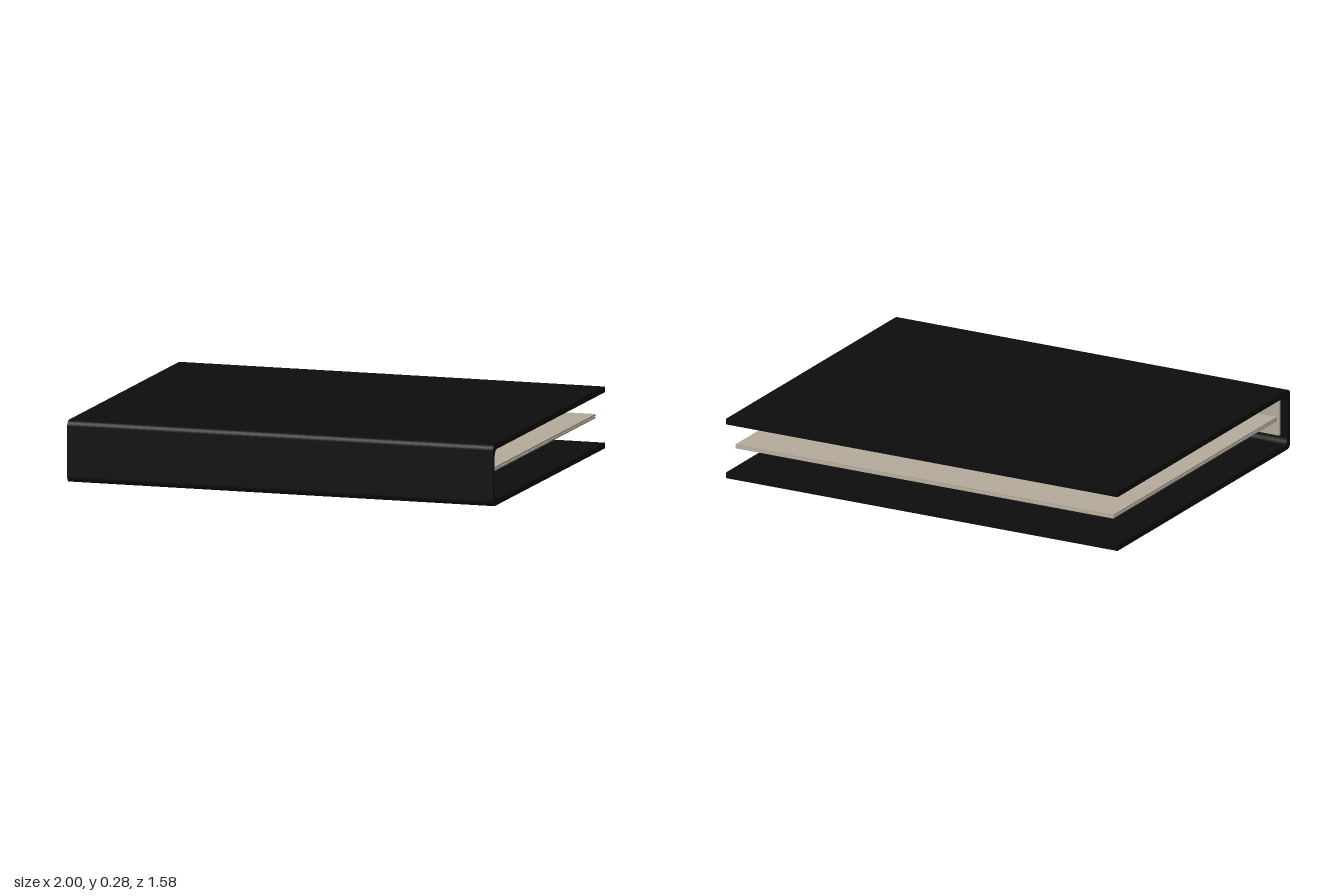
import * as THREE from 'three';

const HALF = 0.79, HEIGHT = 0.28, WALL = 0.026;

export function createModel() {
  const group = new THREE.Group();
  const black = new THREE.MeshStandardMaterial({ color: 0x0d0d0d });
  black.name = 'black cover';
  const beige = new THREE.MeshStandardMaterial({ color: 0xb5ab9b });
  beige.name = 'warm grey';

  const add = (name, geometry, material, x = 0, y = 0, z = 0) => {
    const mesh = new THREE.Mesh(geometry, material);
    mesh.name = name;
    mesh.position.set(x, y, z);
    group.add(mesh);
  };

  // Wraparound cover: a U profile (z, y) with rounded spine corners, extruded along x
  const r = 0.026, i = 0.03, inner = HALF - WALL, top = HEIGHT - WALL;
  const profile = new THREE.Shape();
  profile.moveTo(-HALF, 0);
  profile.lineTo(HALF - r, 0);
  profile.absarc(HALF - r, r, r, -Math.PI / 2, 0, false);
  profile.absarc(HALF - r, HEIGHT - r, r, 0, Math.PI / 2, false);
  profile.lineTo(-HALF, HEIGHT);
  profile.lineTo(-HALF, top);
  profile.absarc(inner - i, top - i, i, Math.PI / 2, 0, true);
  profile.absarc(inner - i, WALL + i, i, 0, -Math.PI / 2, true);
  profile.lineTo(-HALF, WALL);
  profile.closePath();
  const cover = new THREE.ExtrudeGeometry(profile, { depth: 2, bevelEnabled: false, curveSegments: 8 });
  cover.translate(0, 0, -1).rotateY(-Math.PI / 2);
  add('cover', cover, black);

  // Metal plate on the inside of the spine
  add('ringPlate', new THREE.BoxGeometry(1.93, 0.172, 0.012), beige, 0, 0.148, 0.759);

  // Three D-shaped rings
  const ringX = [-0.745, 0, 0.745];
  for (const x of ringX) {
    const ring = new THREE.TorusGeometry(0.068, 0.006, 8, 24, Math.PI);
    ring.rotateZ(Math.PI / 2).rotateY(-Math.PI / 2);
    add('ring', ring, beige, x, 0.148, 0.755);
  }

  // Two punched sheets threaded on the rings
  const sheet = new THREE.Shape();
  sheet.moveTo(-0.965, -0.765);
  sheet.lineTo(0.965, -0.765);
  sheet.lineTo(0.965, 0.73);
  sheet.lineTo(-0.965, 0.73);
  sheet.closePath();
  for (const x of ringX) {
    const hole = new THREE.Path();
    hole.absarc(x, 0.687, 0.022, 0, Math.PI * 2, true);
    sheet.holes.push(hole);
  }
  const paper = new THREE.ExtrudeGeometry(sheet, { depth: 0.008, bevelEnabled: false, curveSegments: 8 });
  paper.rotateX(Math.PI / 2);
  for (const y of [0.147, 0.158]) add('sheet', paper, beige, 0, y, 0);

  return group;
}
